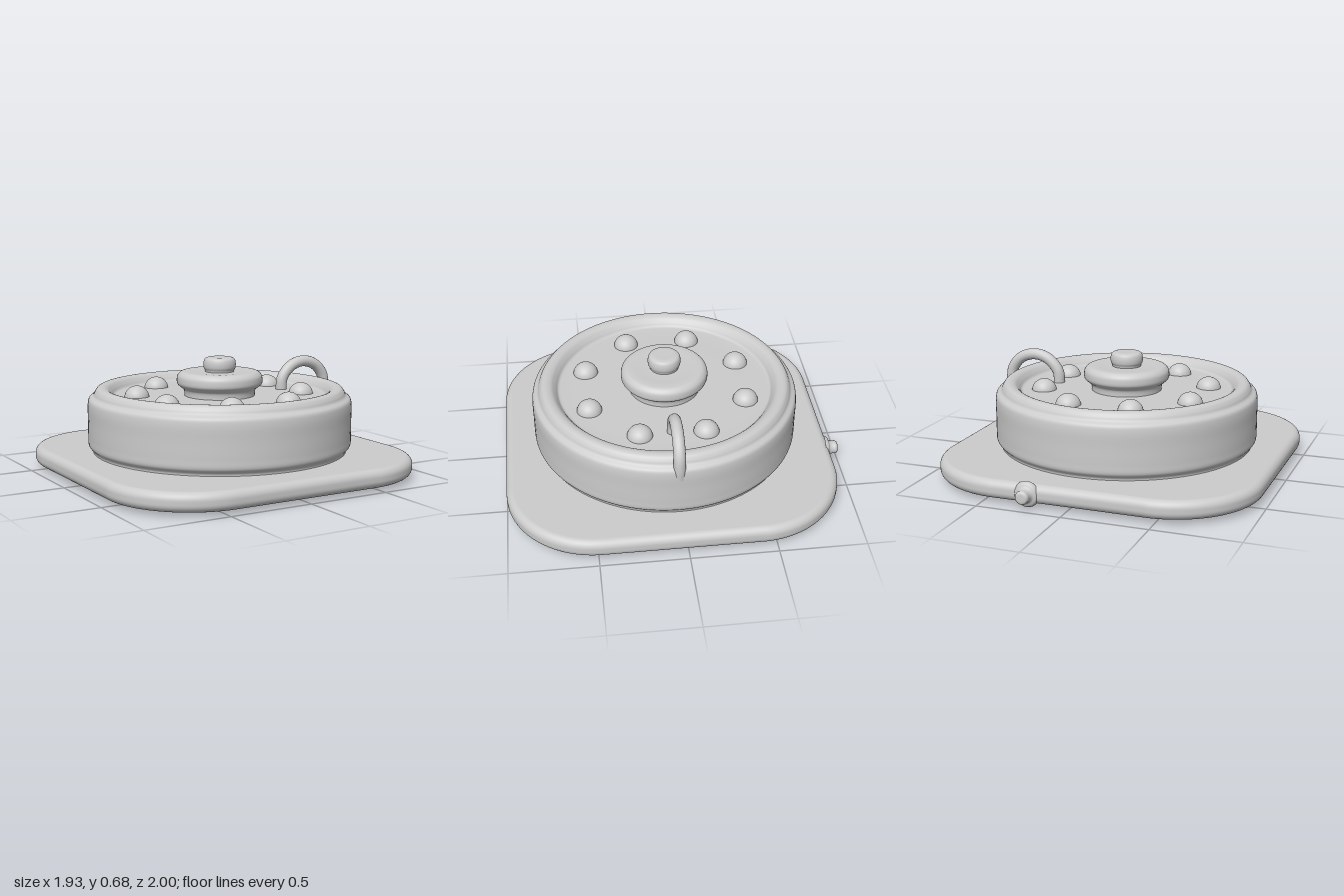
import * as THREE from 'three';

const CZ = 0.032; // centre of the main body along z

export function createModel() {
  const model = new THREE.Group();
  const grey = new THREE.MeshStandardMaterial({ color: 0xcccccc });

  const add = (name, geometry, x = 0, y = 0, z = CZ) => {
    const mesh = new THREE.Mesh(geometry, grey);
    mesh.name = name;
    mesh.position.set(x, y, z);
    model.add(mesh);
    return mesh;
  };

  // Smooth lathe from [radius, height] points, listed from bottom to top
  const turned = (points, segments = 96, samples = 64) => {
    const curve = new THREE.CatmullRomCurve3(
      points.map(([r, y]) => new THREE.Vector3(r, y, 0)), false, 'centripetal');
    const profile = curve.getPoints(samples).map(p => new THREE.Vector2(Math.max(p.x, 0), p.y));
    return new THREE.LatheGeometry(profile, segments);
  };

  // Base plate: rounded square built from stacked outlines with a soft edge
  add('basePlate', plateGeometry(0.965, 0.967, 0.52, 0.11, 0.045));

  // Drum with undercut foot, stepped shoulder, raised rim and sunken deck
  add('drum', turned([
    [0.76, 0.09], [0.76, 0.12], [0.783, 0.15], [0.786, 0.2], [0.786, 0.3], [0.786, 0.39],
    [0.778, 0.425], [0.752, 0.445], [0.742, 0.465], [0.725, 0.485], [0.7, 0.491],
    [0.67, 0.483], [0.647, 0.46], [0.63, 0.438], [0.6, 0.434], [0.4, 0.434], [0, 0.434],
  ], 112, 90));

  // Central hub and its knob
  add('hub', turned([
    [0.21, 0.41], [0.215, 0.47], [0.235, 0.487], [0.253, 0.505], [0.256, 0.53], [0.251, 0.555],
    [0.23, 0.575], [0.2, 0.579], [0.13, 0.576], [0, 0.576],
  ], 64));
  add('knob', turned([
    [0.084, 0.56], [0.088, 0.585], [0.095, 0.6], [0.096, 0.63], [0.088, 0.652],
    [0.07, 0.66], [0.03, 0.661], [0, 0.661],
  ], 40, 40));

  // Ring of eight domed rivets
  for (let i = 0; i < 8; i++) {
    const a = (i + 0.5) * Math.PI / 4;
    const rivet = add('rivet' + (i + 1),
      new THREE.SphereGeometry(0.074, 28, 12, 0, Math.PI * 2, 0, Math.PI / 2),
      Math.cos(a) * 0.495, 0.428, CZ + Math.sin(a) * 0.495);
    rivet.scale.y = 0.95;
  }

  // Arched handle running from the deck over the rim into the side wall
  const arch = new THREE.CatmullRomCurve3([
    [0.44, 0.41], [0.45, 0.505], [0.515, 0.575], [0.6, 0.598],
    [0.69, 0.572], [0.748, 0.505], [0.76, 0.43], [0.757, 0.36],
  ].map(([x, y]) => new THREE.Vector3(x, y, 0)));
  add('handle', new THREE.TubeGeometry(arch, 56, 0.034, 16, false));

  // Small nub on the rear edge, flared where it meets the plate
  const nub = add('rearNub', turned([
    [0.075, -0.02], [0.066, 0], [0.046, 0.012], [0.039, 0.03], [0.039, 0.05],
    [0.03, 0.062], [0, 0.065],
  ], 28, 32), 0.23, 0.053, -0.935);
  nub.rotation.x = -Math.PI / 2;
  nub.scale.x = 1;
  return model;
}

// Rounded rectangle slab with half-sizes hx and hz, corner radius and edge radius
function plateGeometry(hx, hz, corner, height, edge) {
  const shape = new THREE.Shape();
  const x = hx - edge, z = hz - edge, r = corner - edge;
  const quarter = Math.PI / 2;
  shape.absarc(x - r, z - r, r, 0, quarter);
  shape.absarc(-x + r, z - r, r, quarter, 2 * quarter);
  shape.absarc(-x + r, -z + r, r, 2 * quarter, 3 * quarter);
  shape.absarc(x - r, -z + r, r, 3 * quarter, 4 * quarter);
  const outline = shape.getPoints(20).slice(0, -1);
  const n = outline.length;

  // Cross-section of the soft edge: outward offset and height, bottom to top
  const section = [];
  for (let i = 0; i <= 8; i++) {
    const a = -quarter + quarter * i / 8;
    section.push([edge * Math.cos(a), edge + edge * Math.sin(a)]);
  }
  for (let i = 0; i <= 8; i++) {
    const a = quarter * i / 8;
    section.push([edge * Math.cos(a), height - edge + edge * Math.sin(a)]);
  }

  const positions = [], index = [];
  const ring = (offset, y) => outline.forEach(p => {
    // Outward direction is measured from the nearest corner centre
    const dx = p.x - THREE.MathUtils.clamp(p.x, r - x, x - r);
    const dz = p.y - THREE.MathUtils.clamp(p.y, r - z, z - r);
    const length = Math.hypot(dx, dz) || 1;
    positions.push(p.x + dx / length * offset, y, p.y + dz / length * offset);
  });
  section.forEach(([offset, y]) => ring(offset, y));
  for (let j = 0; j < section.length - 1; j++) {
    for (let i = 0; i < n; i++) {
      const k = (i + 1) % n;
      const a = j * n + i, b = j * n + k, c = a + n, d = b + n;
      index.push(a, c, b, b, c, d);
    }
  }

  // Flat bottom and top caps
  const bottom = positions.length / 3;
  positions.push(0, 0, 0, 0, height, 0);
  const last = (section.length - 1) * n;
  for (let i = 0; i < n; i++) {
    const k = (i + 1) % n;
    index.push(bottom, i, k, bottom + 1, last + k, last + i);
  }
  const geometry = new THREE.BufferGeometry();
  geometry.setAttribute('position', new THREE.Float32BufferAttribute(positions, 3));
  geometry.setIndex(index);
  geometry.computeVertexNormals();
  return geometry;
}
